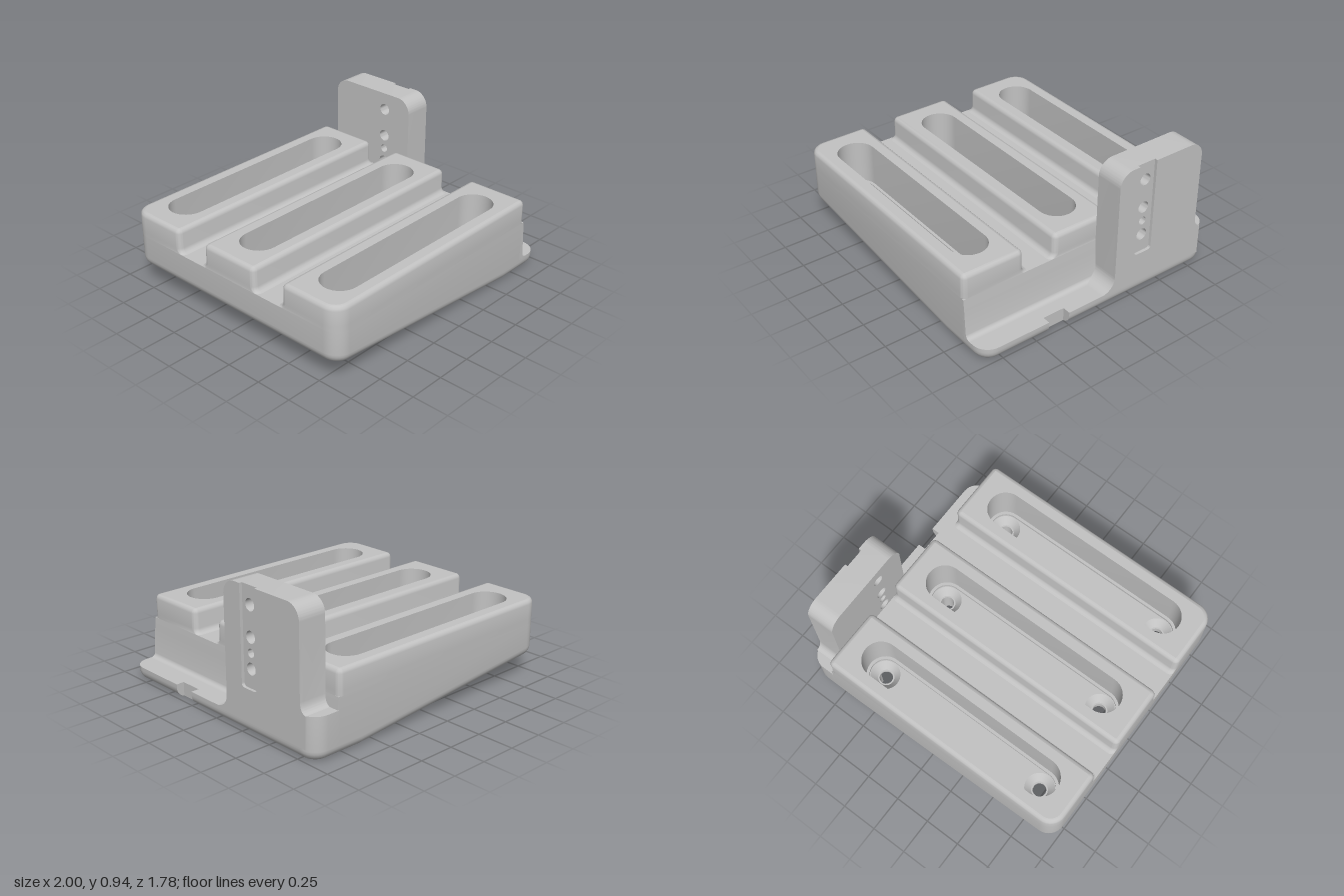
import * as THREE from 'three';
import { toCreasedNormals } from 'three/addons/utils/BufferGeometryUtils.js';

const X0 = -1, XB = 0.805, ZH = 0.89, CREASE = 0.62;
const TOP = 0.535, GROOVE = 0.37, SHELF = 0.095, LEDGE = 0.29;
const SLOT_FLOOR = 0.22, CEILING = 0.15, HOLE = 0.045, ZS = 0.67;
const holeX = [-0.735, 0.545];
const bottomY = (x) => Math.max(0, (CREASE - x) * 0.0886);

// Quarter arc for corner k, running +z -> +x -> -z -> -x
function arc(cx, cz, r, k, n = 8) {
  return Array.from({ length: n + 1 }, (_, i) => {
    const a = (1 - k - i / n) * Math.PI / 2;
    return [cx + r * Math.cos(a), cz + r * Math.sin(a)];
  });
}

// Rounded rectangle in plan, one radius per corner
function ring(x0, x1, z0, z1, [a, b, c, d]) {
  return [...arc(x1 - a, z1 - a, a, 0), ...arc(x1 - b, z0 + b, b, 1),
    ...arc(x0 + c, z0 + c, c, 2), ...arc(x0 + d, z1 - d, d, 3)];
}
const circle = (x, z, r) => ring(x - r, x + r, z - r, z + r, [r, r, r, r]);
const capsule = (z, r) => ring(holeX[0] - r, holeX[1] + r, z - r, z + r, [r, r, r, r]);
const mirror = (pts) => pts.map(([x, z]) => [x, -z]).reverse();
const at = (points, y) => points.map(([x, z]) => [x, typeof y === 'function' ? y(x) : y, z]);

// Closed skin through equal-length rings; upward rings face out, downward rings face in
function loft(rings) {
  const pos = [], n = rings[0].length;
  for (let j = 0; j + 1 < rings.length; j++) {
    for (let i = 0; i < n; i++) {
      const k = (i + 1) % n;
      const a = rings[j][i], b = rings[j][k], c = rings[j + 1][k], d = rings[j + 1][i];
      pos.push(...a, ...b, ...c, ...a, ...c, ...d);
    }
  }
  const g = new THREE.BufferGeometry();
  g.setAttribute('position', new THREE.Float32BufferAttribute(pos, 3));
  return toCreasedNormals(g, 0.6);
}

// Flat cap with holes, facing up or down, at a height or height rule
function cap(outline, holes, y, down = false) {
  const v = (pts) => pts.map(([x, z]) => new THREE.Vector2(x, -z));
  const s = new THREE.Shape(v(outline));
  s.holes = holes.map((h) => new THREE.Path(v(h)));
  const g = new THREE.ShapeGeometry(s).rotateX(-Math.PI / 2);
  const p = g.attributes.position;
  for (let i = 0; i < p.count; i++) p.setY(i, typeof y === 'function' ? y(p.getX(i)) : y);
  if (down) g.index.array.reverse();
  g.computeVertexNormals();
  return g;
}

// Whole footprint inset by d, each point carrying the height of its wall
function footprint(d) {
  const r = 0.11 - d, c = 0.89, Z = ZH - d, X = 1 - d, nx = Math.min(0.945, X);
  const tag = (pts, top) => pts.map((p) => [...p, top]);
  return [
    ...tag([[CREASE, Z], [XB, Z]], GROOVE),
    ...tag([[XB, Z], ...arc(c, 0.78, r, 0), [X, 0.405], [nx, 0.405], [nx, 0.25], [X, 0.25], [X, -0.77]], SHELF),
    ...tag([[X, -0.77], ...arc(c, -0.78, r, 1), [XB, -Z]], LEDGE),
    ...tag([[XB, -Z], [CREASE, -Z], ...arc(-c, -0.78, r, 2), ...arc(-c, 0.78, r, 3)], GROOVE),
  ];
}

// Underside pocket, crease to crease on the -x side; its outer edge runs through
// the screw holes, whose half circles bulge outward (1) or inward (-1)
function pocketLeft(bulge) {
  const bite = (x) => [...arc(x, 0, HOLE, 0), ...arc(x, 0, HOLE, 3).slice(0, -1)]
    .map(([px, pz]) => [px, ZS + bulge * Math.abs(pz)]).sort((p, q) => q[0] - p[0]);
  return [[CREASE, ZS], ...bite(holeX[1]), ...bite(holeX[0]),
    ...arc(-0.78, ZS - 0.05, 0.05, 3).reverse(), ...arc(-0.78, 0.21, 0.05, 2).reverse(), [CREASE, 0.16]];
}
const pocketRight = [[CREASE, 0.16], ...arc(0.72, 0.24, 0.08, 1).reverse(),
  ...arc(0.72, ZS - 0.08, 0.08, 0).reverse(), [CREASE, ZS]];

// Upright side profile, u = -z; the outer layer has the strip recess cut in
function uprightGeometry(x0, x1, recessed) {
  const s = new THREE.Shape();
  s.moveTo(0.01, 0.08);
  s.lineTo(0.01, SHELF);
  s.absarc(0.01, 0.195, 0.1, -Math.PI / 2, 0, false);
  s.lineTo(0.11, 0.84);
  s.absarc(0.21, 0.84, 0.1, Math.PI, Math.PI / 2, true);
  if (recessed) {
    s.lineTo(0.26, 0.94);
    s.lineTo(0.26, 0.32);
    s.quadraticCurveTo(0.26, 0.295, 0.285, 0.295);
    s.lineTo(0.37, 0.295);
    s.quadraticCurveTo(0.395, 0.295, 0.395, 0.32);
    s.lineTo(0.395, 0.94);
  } else {
    for (const [y, r] of [[0.82, 0.04], [0.62, 0.04], [0.52, 0.028], [0.42, 0.04]]) {
      s.holes.push(new THREE.Path().absarc(0.327, y, r, 0, Math.PI * 2));
    }
  }
  s.lineTo(0.675, 0.94);
  s.absarc(0.675, 0.84, 0.1, Math.PI / 2, 0, true);
  s.lineTo(0.775, 0.36);
  s.quadraticCurveTo(0.78, LEDGE + 0.01, 0.82, LEDGE);
  s.lineTo(0.82, 0.08);
  const g = new THREE.ExtrudeGeometry(s, { depth: x1 - x0, bevelEnabled: false, curveSegments: 12 });
  return toCreasedNormals(g.rotateY(Math.PI / 2).translate(x0, 0, 0), 0.6);
}

// Side wall above the shelf, leaning slightly and filleted at the foot
function sideWallGeometry() {
  const s = new THREE.Shape();
  s.moveTo(0.79, 0.09);
  s.lineTo(0.86, 0.09);
  s.lineTo(0.86, SHELF);
  s.quadraticCurveTo(0.825, SHELF, 0.822, 0.13);
  s.lineTo(0.812, LEDGE);
  s.lineTo(XB, GROOVE);
  s.lineTo(0.79, GROOVE);
  const g = new THREE.ExtrudeGeometry(s, { depth: 2 * ZH - 0.005, bevelEnabled: false, curveSegments: 8 });
  return toCreasedNormals(g.translate(0, 0, 0.005 - ZH), 0.6);
}

export function createModel() {
  const model = new THREE.Group();
  model.name = 'groovedBlock';
  const grey = new THREE.MeshStandardMaterial({ color: 0xc2c2c2, side: THREE.DoubleSide });
  grey.name = 'grey';
  const add = (name, geometry) => {
    const m = new THREE.Mesh(geometry, grey);
    m.name = name;
    model.add(m);
  };

  // Outer shell with rounded bottom edge
  const R = 0.07, rings = [];
  for (let i = 0; i <= 6; i++) {
    const a = i / 6 * Math.PI / 2;
    rings.push(at(footprint(R * (1 - Math.sin(a))), (x) => bottomY(x) + R * (1 - Math.cos(a))));
  }
  rings.push(footprint(0).map(([x, z, top]) => [x, top, z]));
  add('outerShell', loft(rings));

  // Underside, split at the crease, with two wedge pockets
  const left = pocketLeft(1);
  const base = footprint(R).map(([x, z]) => [x, z]);
  const first = base.findIndex((p, i) => i > 0 && p[0] === CREASE);
  const rear = base.slice(first), front = base.slice(0, first + 1);
  add('slopedUnderside', cap([...rear, base[0], ...left, ...mirror(left)],
    holeX.map((x) => circle(x, 0, HOLE)), bottomY, true));
  add('flatUnderside', cap([...front, ...mirror(pocketRight), ...pocketRight], [], 0, true));
  for (const place of [(p) => p, mirror]) {
    const wall = place([...left, ...pocketRight]);
    add('pocketWall', loft([at(wall, bottomY), at(wall, CEILING)]));
    add('pocketCeiling', cap(place([...pocketLeft(-1), ...pocketRight]), [], CEILING, true));
  }

  // Three ridges, each with a long stepped slot and two countersunk holes
  for (const s of [-1, 0, 1]) {
    const z0 = [-0.89, -0.22, 0.45][s + 1], z1 = [-0.45, 0.22, 0.89][s + 1], zc = s * ZS;
    const outline = (d) => {
      const e = Math.max(d, 0), r = 0.035 - e, big = 0.11 - e;
      const lo = s < 0 ? e : d, hi = s > 0 ? e : d;
      return ring(X0 + e, XB - e, z0 + lo, z1 - hi, [r, r, s < 0 ? big : r, s > 0 ? big : r]);
    };
    const profile = [[GROOVE, -0.035], [0.375, -0.018], [0.387, -0.005], [0.405, 0],
      [0.505, 0], [0.52, 0.004], [0.531, 0.015], [TOP, 0.03]];
    add('ridge', loft(profile.map(([y, d]) => at(outline(d), y))));
    add('ridgeTop', cap(outline(0.03), [capsule(zc, 0.125)], TOP));
    add('slotWall', loft([[TOP, 0.125], [0.24, 0.125], [0.24, 0.105], [SLOT_FLOOR, 0.105]]
      .map(([y, r]) => at(capsule(zc, r), y))));
    add('slotFloor', cap(capsule(zc, 0.105), holeX.map((x) => circle(x, zc, 0.1)), SLOT_FLOOR));
    for (const x of holeX) {
      add('screwHole', loft([at(circle(x, zc, 0.1), SLOT_FLOOR), at(circle(x, zc, 0.055), 0.165),
        at(circle(x, zc, HOLE), 0.165), at(circle(x, zc, HOLE), s === 0 ? bottomY : CEILING)]));
    }
  }

  // Groove floors between the ridges
  for (const s of [-1, 1]) {
    add('grooveFloor', cap([[X0, s * 0.2], [XB, s * 0.2], [XB, s * 0.47], [X0, s * 0.47]], [], GROOVE));
  }

  add('sideWall', sideWallGeometry());

  // Shelf with the edge notch, and the small rear ledge
  add('shelf', cap([[XB, ZH], ...arc(0.89, 0.78, 0.11, 0), [1, 0.405], [0.945, 0.405],
    [0.945, 0.25], [1, 0.25], [1, -0.2], [XB, -0.2]], [], SHELF));
  add('rearLedge', cap([[XB, -0.77], [1, -0.77], ...arc(0.89, -0.78, 0.11, 1), [XB, -ZH]], [], LEDGE));

  // Upright plate: drilled core and recessed outer layer
  add('uprightCore', uprightGeometry(XB, 0.98, false));
  add('uprightFace', uprightGeometry(0.98, 1, true));
  return model;
}
